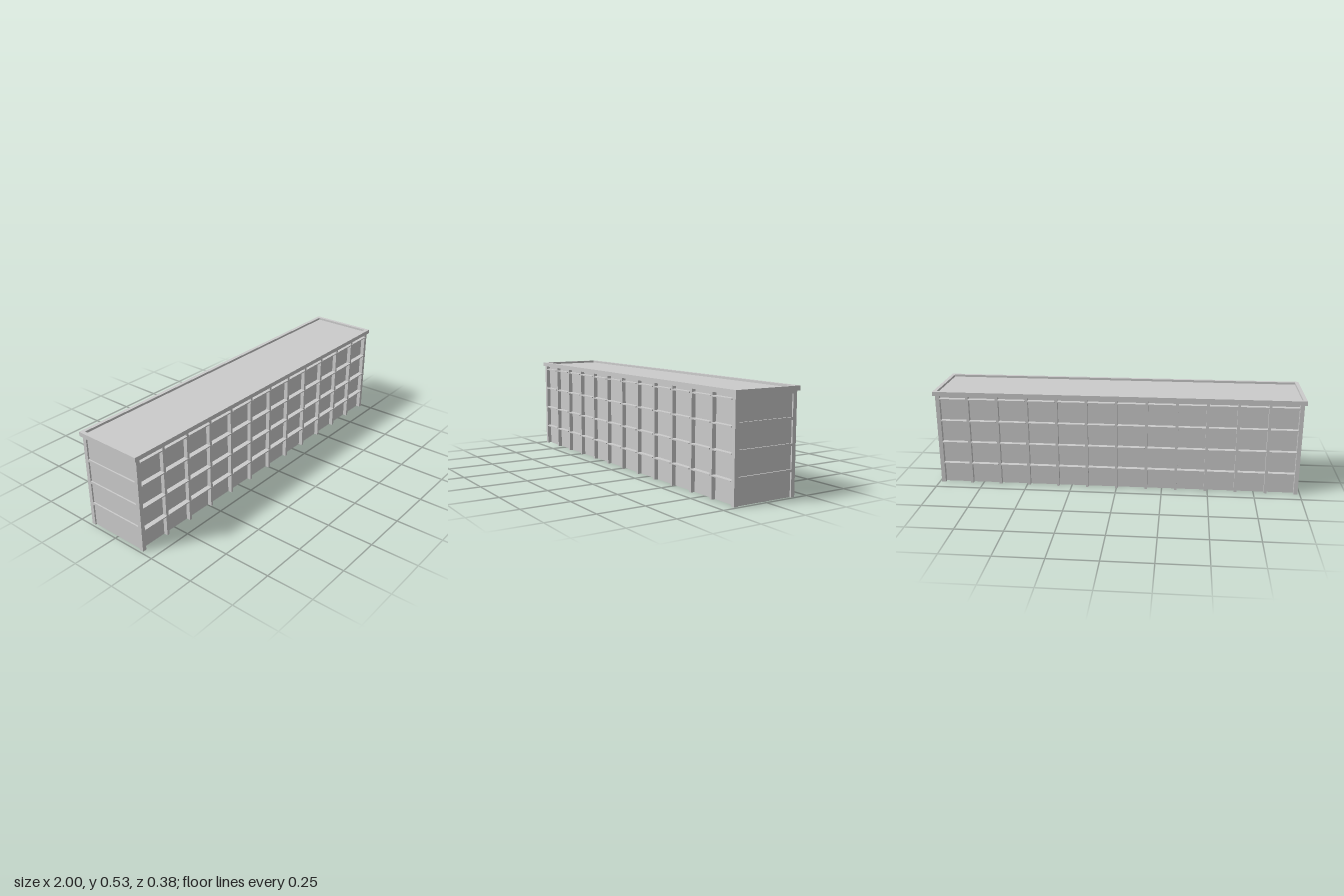
import * as THREE from 'three';

export function createModel() {
  const model = new THREE.Group();
  const material = new THREE.MeshStandardMaterial({ color: 0xcccccc, flatShading: true });

  const wallTop = 0.507, roofTop = 0.53;
  const endX = 0.988, faceZ = 0.182;    // outer planes of posts and bands
  const panelX = 0.98, wallZ = 0.16;    // recessed planes
  const postW = 0.022, pierW = 0.015;
  const bays = 12, storeys = 4;
  const pitch = (2 * endX - postW) / bays;

  // Box given by its lower and upper corners
  function box(name, x0, x1, y0, y1, z0, z1, parent = model) {
    const mesh = new THREE.Mesh(new THREE.BoxGeometry(x1 - x0, y1 - y0, z1 - z0), material);
    mesh.position.set((x0 + x1) / 2, (y0 + y1) / 2, (z0 + z1) / 2);
    mesh.name = name;
    parent.add(mesh);
  }

  // Main block, set back behind the piers
  box('wallBlock', -panelX, panelX, 0, wallTop, -wallZ, wallZ);

  // Long facades: piers with window ledges between them
  for (const s of [1, -1]) {
    const facade = new THREE.Group();
    facade.name = s > 0 ? 'frontFacade' : 'backFacade';
    facade.rotation.y = s > 0 ? 0 : Math.PI;
    model.add(facade);
    for (let i = 0; i <= bays; i++) {
      const x = (i - bays / 2) * pitch;
      const corner = i === 0 || i === bays;
      const w = (corner ? postW : pierW) / 2;
      box(corner ? 'cornerPost' : 'pier', x - w, x + w, 0, wallTop, wallZ, faceZ, facade);
      if (i === bays) continue;
      const left = x + w;
      const right = x + pitch - (i === bays - 1 ? postW : pierW) / 2;
      for (let k = 0; k < storeys; k++) {
        const y = 0.1155 + k * 0.1238;
        box('ledge', left, right, y - 0.003, y + 0.003, wallZ, 0.187, facade);
      }
    }
  }

  // End walls: horizontal bands framing four sunken panels
  for (const s of [1, -1]) {
    const a = Math.min(s * panelX, s * endX), b = Math.max(s * panelX, s * endX);
    for (let k = 0; k < storeys; k++) {
      const y = 0.122 + k * 0.124;
      box('endBand', a, b, y, Math.min(y + 0.013, wallTop), -wallZ, wallZ);
    }
  }

  // Roof slab with a raised rim
  const roofX = 1, roofZ = 0.19, rim = 0.02;
  const outline = new THREE.Shape([
    new THREE.Vector2(-roofX, -roofZ), new THREE.Vector2(roofX, -roofZ),
    new THREE.Vector2(roofX, roofZ), new THREE.Vector2(-roofX, roofZ),
  ]);
  const ix = roofX - rim, iz = roofZ - rim;
  outline.holes.push(new THREE.Path([
    new THREE.Vector2(-ix, -iz), new THREE.Vector2(-ix, iz),
    new THREE.Vector2(ix, iz), new THREE.Vector2(ix, -iz),
  ]));
  const rimGeometry = new THREE.ExtrudeGeometry(outline, { depth: roofTop - wallTop, bevelEnabled: false });
  rimGeometry.rotateX(-Math.PI / 2);
  const roofRim = new THREE.Mesh(rimGeometry, material);
  roofRim.position.y = wallTop;
  roofRim.name = 'roofRim';
  model.add(roofRim);
  box('roofDeck', -ix, ix, wallTop, 0.518, -iz, iz);

  return model;
}
